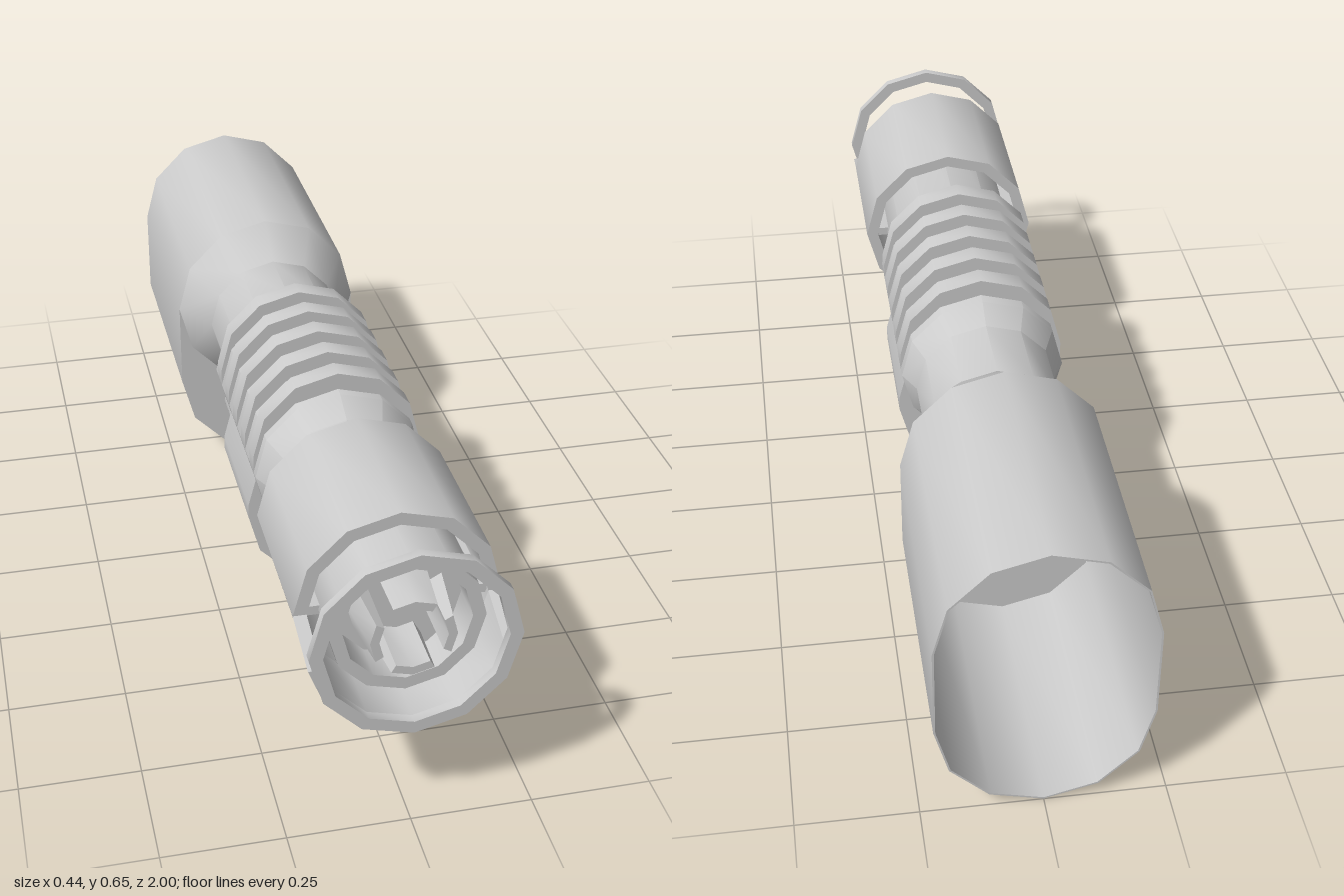
import * as THREE from 'three';
import { toCreasedNormals } from 'three/addons/utils/BufferGeometryUtils.js';

const AXIS = 0.43; // height of the main tube axis
const material = new THREE.MeshStandardMaterial({ color: 0xcccccc });

// Points of a 12-sided arc, from step a to step b (30 degrees each)
function arc(r, a, b, cy = 0) {
  const pts = [];
  const dir = Math.sign(b - a);
  for (let i = 0; i <= Math.abs(b - a); i++) {
    const t = ((a + dir * i) * Math.PI) / 6;
    pts.push(new THREE.Vector2(r * Math.cos(t), cy + r * Math.sin(t)));
  }
  return pts;
}

// Two half circles joined by straight sides
const capsule = (r, top, bottom) => [...arc(r, 0, 6, top), ...arc(r, 6, 12, bottom)];

function extrude(points, z0, z1, hole) {
  const shape = new THREE.Shape(points);
  if (hole) shape.holes.push(new THREE.Path(hole));
  const geo = new THREE.ExtrudeGeometry(shape, { depth: z1 - z0, bevelEnabled: false });
  return geo.translate(0, 0, z0);
}

// Profile of [radius, z] turned around the main axis
function turned(profile) {
  const pts = profile.map(([r, z]) => new THREE.Vector2(r, z));
  return new THREE.LatheGeometry(pts, 12).rotateX(Math.PI / 2).translate(0, AXIS, 0);
}

// Hollow ring with square edges
const ring = (ro, ri, z0, z1) => turned([[ro, z0], [ro, z1], [ri, z1], [ri, z0], [ro, z0]]);

export function createModel() {
  const model = new THREE.Group();
  const add = (name, geo) => {
    const mesh = new THREE.Mesh(toCreasedNormals(geo, 0.56), material);
    mesh.name = name;
    model.add(mesh);
    return mesh;
  };

  // Main tube with grip section, rear cone and recessed front
  add('mainTube', turned([
    [0.22, -0.43], [0.155, -0.335], [0.155, -0.165], [0.183, -0.11], [0.183, 0.37],
    [0.155, 0.43], [0.155, 0.93], [0.128, 0.93], [0.128, 0.85], [0, 0.85],
  ]));

  // Hollow rear housing, open at the back
  add('rearHousing', extrude(capsule(0.22, AXIS, 0.222), -1, -0.43, capsule(0.216, AXIS, 0.222)));
  add('rearHousingFrontPlate', extrude(capsule(0.218, AXIS, 0.222), -0.44, -0.43));

  // Block under the grip and the rods that join it to the housing
  add('lowerBlock', extrude(capsule(0.183, 0.3, 0.268).map((p) => (p.y > 0.3
    ? new THREE.Vector2(p.x, Math.min(p.y, AXIS)) : p)), -0.02, 0.28).translate(0, 0, 0));
  for (const side of [-1, 1]) {
    const rod = new THREE.CylinderGeometry(0.032, 0.032, 0.43, 12).rotateX(Math.PI / 2);
    add(side > 0 ? 'leftRod' : 'rightRod', rod.translate(side * 0.08, 0.155, -0.225));
  }

  // Raised ribs on top of the grip
  for (let i = 0; i < 5; i++) {
    const z = 0.301 - i * 0.096;
    add('gripRib' + (i + 1), extrude(capsule(0.183, 0.467, AXIS), z, z + 0.047));
  }

  // Front sleeve: full rear part, open-topped lower part, closing ring
  add('frontSleeve', ring(0.207, 0.18, 0.51, 0.86));
  const trough = extrude([...arc(0.207, 6, 12), ...arc(0.18, 12, 6)], 0.86, 0.98);
  const tp = trough.attributes.position;
  for (let i = 0; i < tp.count; i++) {
    if (Math.abs(tp.getY(i)) < 0.001 && tp.getZ(i) > 0.9) {
      tp.setXY(i, tp.getX(i) * 0.985, -0.04); // sloping edges of the opening
    }
  }
  add('sleeveLowerFront', trough.translate(0, AXIS, 0));
  add('sleeveFrontRing', ring(0.207, 0.18, 0.98, 1));

  // Struts that hold the sleeve on the tube
  for (const side of [-1, 1]) {
    add(side > 0 ? 'leftStrut' : 'rightStrut',
      new THREE.BoxGeometry(0.04, 0.02, 0.33).translate(side * 0.167, AXIS, 0.685));
  }

  // Four tapered claws in the muzzle
  for (let k = 0; k < 4; k++) {
    const claw = extrude([...arc(0.1, -1, 1), ...arc(0.067, 1, -1)], 0.85, 0.975);
    const p = claw.attributes.position;
    for (let i = 0; i < p.count; i++) {
      if (p.getZ(i) > 0.9 && Math.hypot(p.getX(i), p.getY(i)) > 0.09) {
        p.setXY(i, p.getX(i) * 0.85, p.getY(i) * 0.85);
      }
    }
    add('muzzleClaw' + (k + 1), claw.rotateZ((k * Math.PI) / 2).translate(0, AXIS, 0));
  }

  return model;
}
